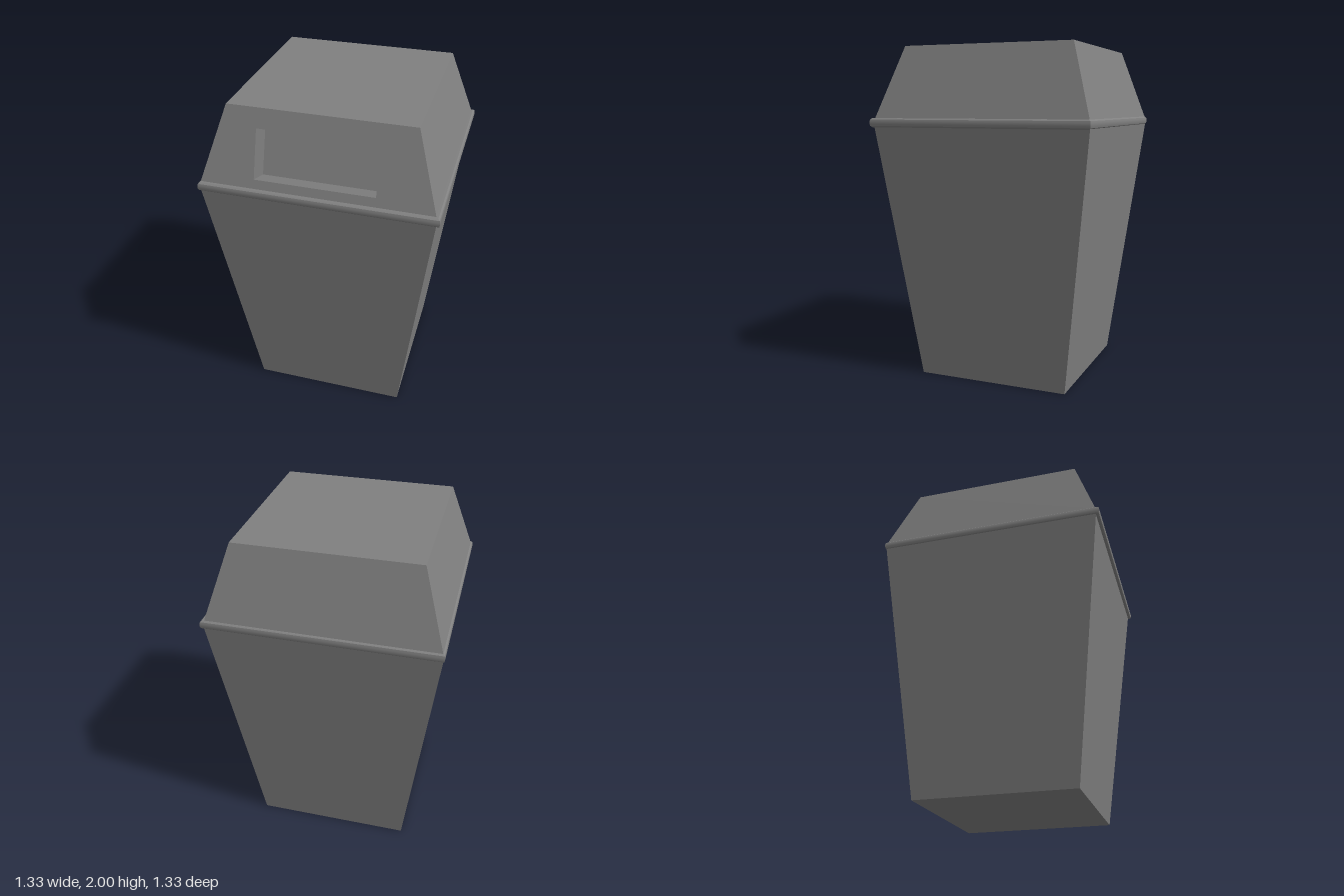
import * as THREE from 'three';
import { toCreasedNormals } from 'three/addons/utils/BufferGeometryUtils.js';

const plastic = new THREE.MeshStandardMaterial({ color: 0x808080 });
plastic.name = 'greyPlastic';

const OFF = -0.006; // the bin sits slightly off the rim's centre
const RIM_Y = 1.57, TOP_Y = 2, LID_BASE = 0.653, LID_TOP = 0.516;

function part(name, geometry, parent) {
  const mesh = new THREE.Mesh(geometry, plastic);
  mesh.name = name;
  parent.add(mesh);
  return mesh;
}

// Square section swept round the y axis; profile is [half width, height]
function square(profile, sides = 4) {
  const pts = profile.map(([h, y]) => new THREE.Vector2(h * Math.SQRT2, y));
  const geo = new THREE.LatheGeometry(pts, sides, Math.PI / 4, sides * Math.PI / 2);
  return toCreasedNormals(geo, 0.5);
}

// Box seen from inside, with its +z side open
function openRecess(w, h, d) {
  const geo = new THREE.BoxGeometry(w, h, d);
  const idx = Array.from(geo.index.array).filter((_, i) => i < 24 || i >= 30).reverse();
  geo.setIndex(idx);
  const flat = geo.toNonIndexed();
  flat.computeVertexNormals();
  return flat;
}

export function createModel() {
  const model = new THREE.Group();
  model.name = 'wasteBin';

  // Tapered container with a closed floor
  const body = part('body', square([[0, 0], [0.465, 0], [0.654, 1.54]]), model);
  body.position.set(OFF, 0, OFF);

  // Rounded bead around the mouth
  part('rim', square([
    [0.635, 1.53], [0.655, 1.53], [0.664, 1.538], [0.667, 1.549],
    [0.667, 1.564], [0.664, 1.575], [0.655, 1.583], [0.635, 1.583],
  ]), model);

  // Lid: three plain sloping sides and the flat top
  const lid = new THREE.Group();
  lid.name = 'lid';
  lid.position.set(OFF, 0, OFF);
  model.add(lid);
  part('lidSides', square([[LID_BASE, RIM_Y], [LID_TOP, TOP_Y]], 3), lid);
  const top = part('lidTop', new THREE.PlaneGeometry(2 * LID_TOP, 2 * LID_TOP), lid);
  top.rotation.x = -Math.PI / 2;
  top.position.y = TOP_Y;

  // Sloping front with the disposal slot, drawn flat and tilted back
  const rise = TOP_Y - RIM_Y, run = LID_BASE - LID_TOP;
  const slope = Math.hypot(rise, run);
  const front = new THREE.Group();
  front.name = 'lidFront';
  front.position.set(0, RIM_Y, LID_BASE);
  front.rotation.x = -Math.atan2(run, rise);
  lid.add(front);

  const x0 = -0.342, x1 = 0.33;
  const y0 = (1.632 - RIM_Y) * slope / rise, y1 = (1.895 - RIM_Y) * slope / rise;
  const rect = (pts) => pts.map(([x, y]) => new THREE.Vector2(x, y));
  const panel = new THREE.Shape(rect([
    [-LID_BASE, 0], [LID_BASE, 0], [LID_TOP, slope], [-LID_TOP, slope],
  ]));
  panel.holes.push(new THREE.Path(rect([[x0, y0], [x0, y1], [x1, y1], [x1, y0]])));
  part('frontPanel', new THREE.ShapeGeometry(panel), front);

  // Recess behind the slot
  const depth = 0.135;
  const slot = part('slotRecess', openRecess(x1 - x0, y1 - y0, depth), front);
  slot.position.set((x0 + x1) / 2, (y0 + y1) / 2, -depth / 2);

  return model;
}
